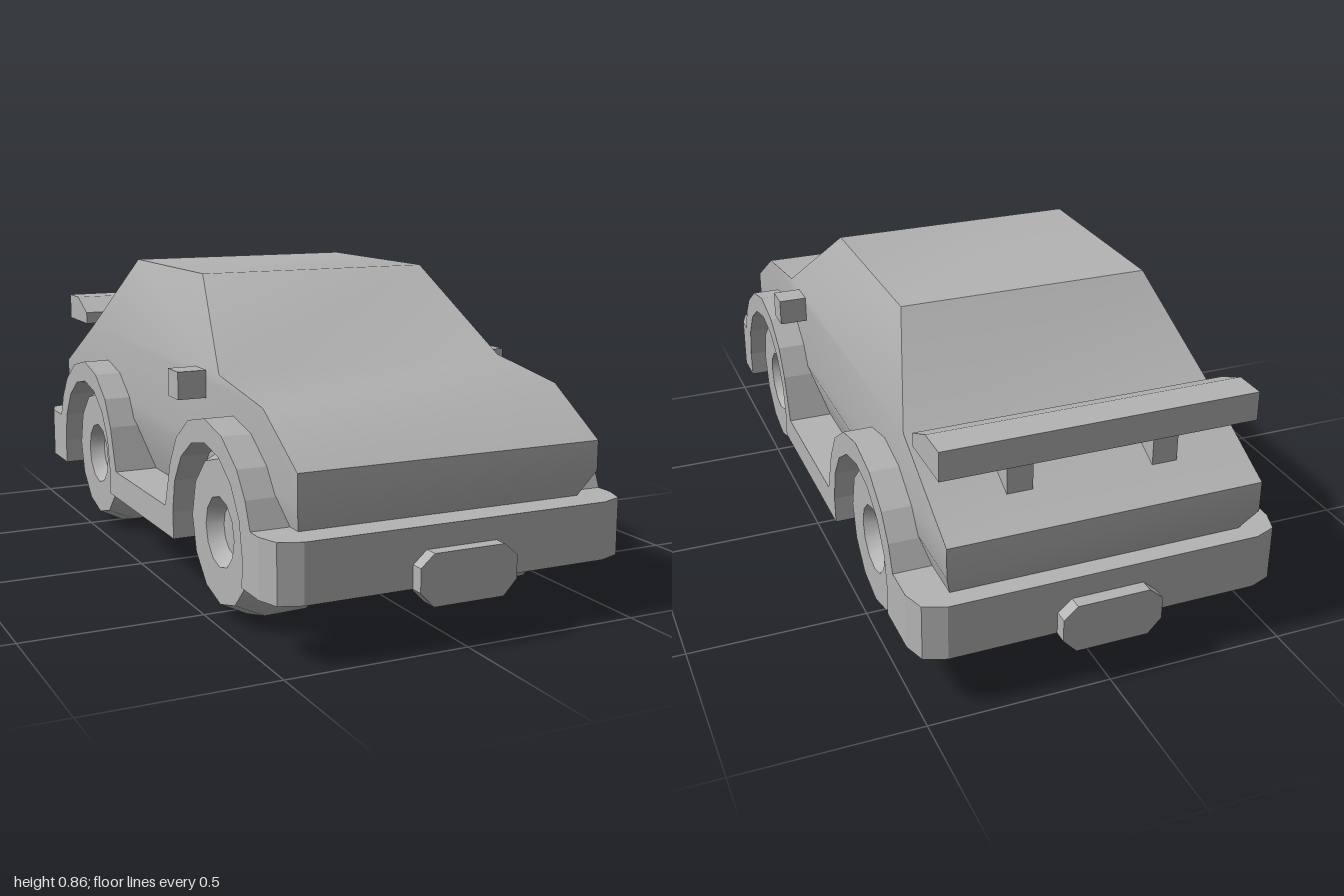
import * as THREE from 'three';
import { toCreasedNormals } from 'three/addons/utils/BufferGeometryUtils.js';

const grey = new THREE.MeshStandardMaterial({ color: 0xb4b4b4 });
grey.name = 'body grey';

export function createModel() {
  const car = new THREE.Group();
  car.name = 'car';

  const add = (name, geometry, x = 0, y = 0, z = 0) => {
    const mesh = new THREE.Mesh(geometry, grey);
    mesh.name = name;
    mesh.position.set(x, y, z);
    car.add(mesh);
    return mesh;
  };
  const box = (name, w, h, d, x, y, z) => add(name, new THREE.BoxGeometry(w, h, d), x, y, z);
  const outline = (points) => new THREE.Shape(points.map(([a, b]) => new THREE.Vector2(a, b)));
  const extrude = (points, depth) =>
    new THREE.ExtrudeGeometry(outline(points), { depth, bevelEnabled: false });
  // Side profile given as [z, y], running from x0 to x1
  const sideExtrude = (points, x0, x1) =>
    extrude(points, x1 - x0).rotateY(-Math.PI / 2).translate(x1, 0, 0);

  // Body shell: side outline [z, y], narrowing above the waist and below the sills
  const profile = [
    [0.83, 0.24], [0.925, 0.39], [0.925, 0.47], [0.73, 0.59], [0.45, 0.63], [0.14, 0.865],
    [-0.41, 0.865], [-0.65, 0.63], [-0.957, 0.475], [-0.957, 0.39], [-0.86, 0.24],
  ];
  const halfWidth = (y) => 0.43 - Math.max(0, y - 0.63) * 0.34 - Math.max(0, 0.39 - y) * 0.33;
  const corner = (i, side) => {
    const [z, y] = profile[i % profile.length];
    return [side * halfWidth(y), y, z];
  };
  const positions = [];
  const triangle = (a, b, c) => positions.push(...a, ...b, ...c);
  for (let i = 0; i < profile.length; i++) {
    const [a, b, c, d] = [corner(i, -1), corner(i, 1), corner(i + 1, 1), corner(i + 1, -1)];
    triangle(a, b, c);
    triangle(a, c, d);
  }
  // Flat side panels: sill, door band and cabin
  for (const panel of [[0, 1, 9, 10], [1, 2, 3, 4, 7, 8, 9], [4, 5, 6, 7]]) {
    const flat = panel.map((i) => new THREE.Vector2(...profile[i]));
    for (const face of THREE.ShapeUtils.triangulateShape(flat, [])) {
      const [i, j, k] = face.map((f) => panel[f]);
      triangle(corner(i, 1), corner(k, 1), corner(j, 1));
      triangle(corner(i, -1), corner(j, -1), corner(k, -1));
    }
  }
  const shell = new THREE.BufferGeometry();
  shell.setAttribute('position', new THREE.Float32BufferAttribute(positions, 3));
  add('bodyShell', toCreasedNormals(shell, 0.75));

  // Floor and bumpers with clipped corners
  box('floor', 0.84, 0.08, 1.77, 0, 0.2, 0);
  const bumper = [
    [-0.51, 0.78], [0.51, 0.78], [0.51, 0.88], [0.49, 0.94], [0.43, 0.963],
    [-0.43, 0.963], [-0.49, 0.94], [-0.51, 0.88],
  ].map(([x, z]) => [Math.abs(z) < 0.8 ? x * 0.8 : x, z]);
  bumper.splice(2, 0, [0.51, 0.879]);
  bumper.push([-0.51, 0.879]);
  for (const s of [1, -1]) {
    const geometry = extrude(bumper, 0.155).rotateX(Math.PI / 2).translate(0, 0.315, 0);
    const mesh = add(s > 0 ? 'frontBumper' : 'rearBumper', geometry);
    if (s < 0) mesh.rotation.y = Math.PI;
  }

  // Side skirts with flared fenders and wheel arches
  const axles = [0.542, -0.493];
  const flare = [
    [-0.30, 0.24], [-0.255, 0.37], [-0.205, 0.45], [-0.115, 0.513], [0, 0.538],
    [0.115, 0.513], [0.21, 0.45], [0.26, 0.385], [0.29, 0.315],
  ];
  const arch = [[0.236, 0.16]];
  for (let i = 0; i <= 8; i++) {
    const a = (i / 8) * Math.PI;
    arch.push([0.24 * Math.cos(a), 0.235 + 0.24 * Math.sin(a)]);
  }
  arch.push([-0.236, 0.16]);
  const skirt = [
    [0.88, 0.16],
    [0.88, 0.315],
    ...flare.map(([o, y]) => [axles[0] + o, y]).reverse(),
    ...flare.map(([o, y]) => [axles[1] - o, y]),
    [-0.88, 0.315],
    [-0.88, 0.16],
    ...arch.map(([o, y]) => [axles[1] + o, y]).reverse(),
    ...arch.map(([o, y]) => [axles[0] + o, y]).reverse(),
  ];
  add('leftSkirt', sideExtrude(skirt, 0.37, 0.51));
  add('rightSkirt', sideExtrude(skirt, -0.51, -0.37));

  // Wheels: bevelled tyres with a recessed hub
  const tyre = [
    [0, 0.2], [0.195, 0.2], [0.229, 0.28], [0.232, 0.395],
    [0.195, 0.47], [0.095, 0.47], [0.068, 0.43], [0, 0.43],
  ].map(([r, x]) => new THREE.Vector2(r, x));
  const wheel = toCreasedNormals(new THREE.LatheGeometry(tyre, 12).toNonIndexed(), 0.6);
  for (const s of [1, -1]) {
    for (const z of axles) {
      const name = (z > 0 ? 'front' : 'rear') + (s > 0 ? 'Left' : 'Right') + 'Wheel';
      add(name, wheel, 0, 0.235, z).rotation.z = (-s * Math.PI) / 2;
    }
    box(s > 0 ? 'leftMirror' : 'rightMirror', 0.1, 0.075, 0.075, s * 0.46, 0.592, 0.32);
    box(s > 0 ? 'leftSpoilerStrut' : 'rightSpoilerStrut', 0.07, 0.15, 0.09, s * 0.2, 0.57, -0.81);
  }

  // Rear spoiler
  const wing = [[-0.72, 0.63], [-0.72, 0.667], [-0.815, 0.71], [-0.907, 0.71], [-0.907, 0.63]];
  add('spoiler', sideExtrude(wing, -0.43, 0.43));

  // Octagonal plates on both bumpers
  const plate = [
    [-0.1, 0.12], [0.1, 0.12], [0.138, 0.16], [0.138, 0.222],
    [0.1, 0.255], [-0.1, 0.255], [-0.138, 0.222], [-0.138, 0.16],
  ];
  add('frontPlate', extrude(plate, 0.05), 0, 0, 0.95);
  add('rearPlate', extrude(plate, 0.05), 0, 0, -1);
  return car;
}
